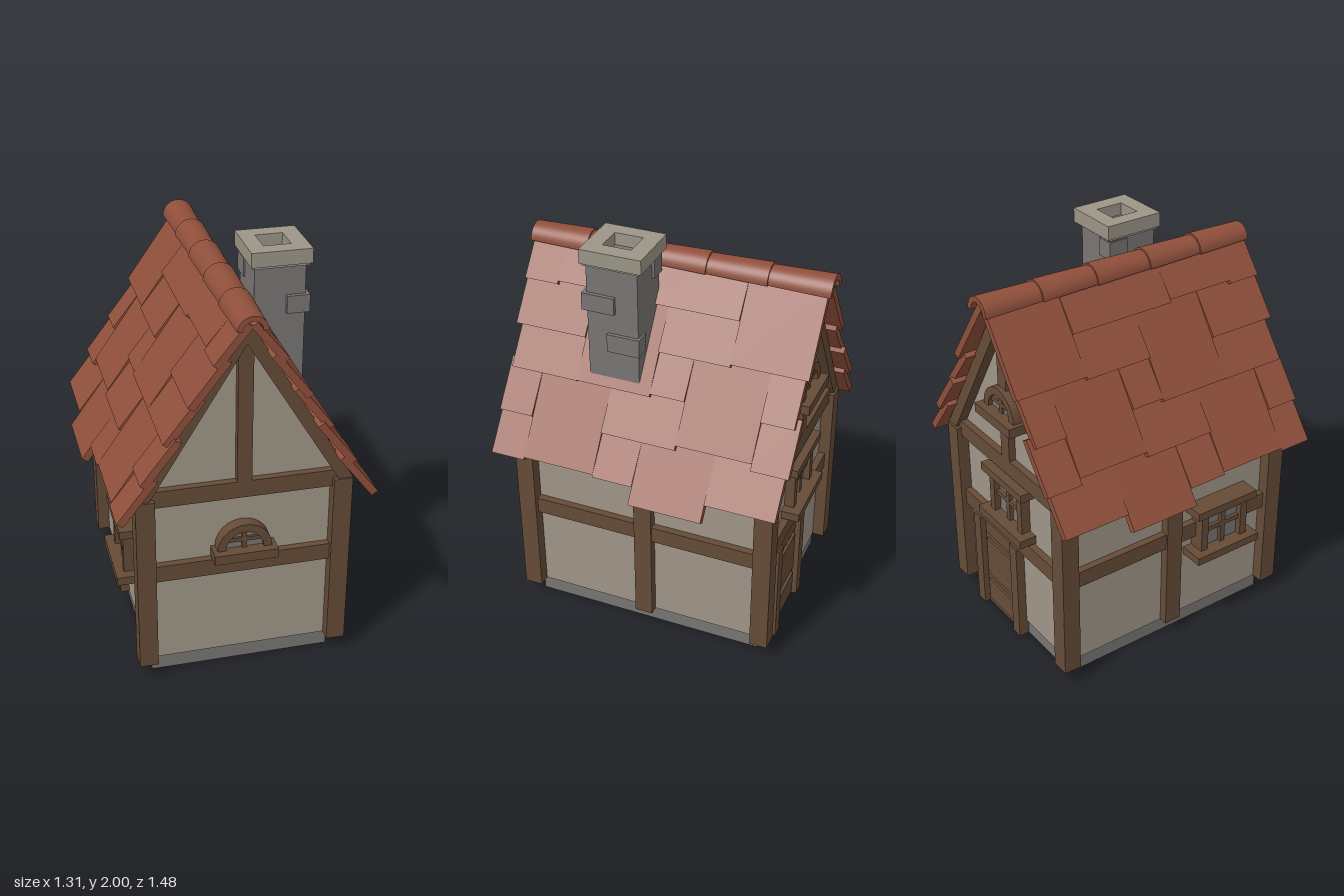
import * as THREE from 'three';

const mat = (name, hex) => {
  const m = new THREE.MeshStandardMaterial({ color: hex });
  m.name = name;
  return m;
};

export function createModel() {
  const plaster = mat('plaster', 0x9f9688);
  const wood = mat('timber', 0x654b37);
  const tileRed = mat('roofTile', 0x8f4f3b);
  const stone = mat('stone', 0x787573);
  const capStone = mat('paleStone', 0x9c9587);

  const house = new THREE.Group();
  house.name = 'house';

  const add = (parent, name, geo, material) => {
    const m = new THREE.Mesh(geo, material);
    m.name = name;
    parent.add(m);
    return m;
  };
  // Box given by its two extreme corners
  const box = (parent, name, material, x0, x1, y0, y1, z0, z1) =>
    add(parent, name, new THREE.BoxGeometry(x1 - x0, y1 - y0, z1 - z0), material)
      .position.set((x0 + x1) / 2, (y0 + y1) / 2, (z0 + z1) / 2);
  const shapeOf = pts => new THREE.Shape(pts.map(p => new THREE.Vector2(p[0], p[1])));
  const prism = (parent, name, material, shape, z0, z1) => {
    const geo = new THREE.ExtrudeGeometry(shape, { depth: z1 - z0, bevelEnabled: false, curveSegments: 16 });
    geo.translate(0, 0, z0);
    return add(parent, name, geo, material);
  };
  const archShape = (outer, inner) => {
    const s = new THREE.Shape();
    s.absarc(0, 0, outer, 0, Math.PI, false);
    if (inner) s.absarc(0, 0, inner, Math.PI, 0, true);
    return s;
  };

  // Foundation and plastered walls with gables
  box(house, 'foundation', stone, -0.44, 0.44, 0, 0.08, -0.59, 0.59);
  prism(house, 'walls', plaster,
    shapeOf([[-0.45, 0.08], [0.45, 0.08], [0.45, 1.05], [0, 1.79], [-0.45, 1.05]]), -0.6, 0.6);

  // Timber frame
  for (const s of [-1, 1]) {
    const span = (a, b) => (s > 0 ? [a, b] : [-b, -a]);
    for (const z of [-0.615, 0.615]) {
      box(house, 'cornerPost', wood, ...span(0.42, 0.51), 0.08, 0.99, z - 0.045, z + 0.045);
    }
    box(house, 'sidePost', wood, ...span(0.43, 0.495), 0.08, 1.01, -0.045, 0.045);
    box(house, 'sideBeam', wood, ...span(0.43, 0.485), 0.54, 0.625, -0.58, 0.58);
    const zs = span(0.58, 0.635);
    box(house, 'middleBeam', wood, -0.43, 0.43, 0.54, 0.625, ...zs);
    box(house, 'tieBeam', wood, -0.45, 0.45, 0.945, 1.03, ...zs);
    box(house, 'kingPost', wood, -0.035, 0.035, 1.03, 1.75, ...zs);
    prism(house, 'rafters', wood,
      shapeOf([[0, 1.84], [-0.52, 0.98], [-0.45, 0.98], [0, 1.72], [0.45, 0.98], [0.52, 0.98]]),
      ...span(0.58, 0.65));
  }

  // Roof tiles: rows from ridge to eave, each entry [z0, z1, extra length down the slope]
  const PITCH = 0.212;
  const rows = [
    [[0.56, 0.73, 0], [0.2, 0.56, -0.015], [-0.35, 0.2, 0], [-0.72, -0.35, 0.2]],
    [[0.37, 0.73, 0.005], [0, 0.37, 0.21], [-0.35, 0, 0]],
    [[0.37, 0.71, 0], [-0.17, 0, -0.015], [-0.54, -0.17, 0.19], [-0.7, -0.54, 0]],
    [[0.56, 0.73, 0], [0.2, 0.56, 0.2], [-0.17, 0.2, 0], [-0.72, -0.54, 0.01]],
    [[0.56, 0.73, 0], [0, 0.2, 0], [-0.36, 0, 0.085], [-0.7, -0.36, 0]],
  ];
  const roof = new THREE.Group();
  roof.name = 'roof';
  house.add(roof);
  for (const side of [-1, 1]) {
    // Distance s down the slope and n away from it, to x and y
    const at = (s, n) => [side * (0.518 * s + 0.855 * n), 1.84 - 0.855 * s + 0.518 * n];
    rows.forEach((row, k) => row.forEach(([z0, z1, extra]) => {
      const top = Math.max(0, k * PITCH - 0.03);
      const end = 0.232 + k * PITCH + extra;
      prism(roof, 'roofTile', tileRed,
        shapeOf([at(top, -0.008), at(end, 0.022), at(end, 0.058), at(top, 0.028)]), z0, z1);
    }));
  }

  // Ridge tiles, each flaring toward the back
  const len = 1.48 / 5;
  for (let i = 0; i < 5; i++) {
    const ridge = prism(roof, 'ridgeTile', tileRed, archShape(0.069, 0.045), 0, len);
    const p = ridge.geometry.attributes.position;
    for (let j = 0; j < p.count; j++) {
      const f = 1.13 - 0.13 * p.getZ(j) / len;
      p.setXY(j, p.getX(j) * f, p.getY(j) * f);
    }
    ridge.geometry.computeVertexNormals();
    ridge.position.set(0, 1.82, -0.74 + i * len);
  }

  // Chimney with projecting stones and a hollow cap
  const chimney = new THREE.Group();
  chimney.name = 'chimney';
  house.add(chimney);
  box(chimney, 'shaft', stone, 0.12, 0.36, 1.3, 1.94, 0.06, 0.31);
  box(chimney, 'cornerStone', stone, 0.27, 0.378, 1.695, 1.78, 0.17, 0.33);
  box(chimney, 'sideStone', stone, 0.3, 0.378, 1.5, 1.59, 0.05, 0.21);
  box(chimney, 'backStone', stone, 0.112, 0.2, 1.82, 1.91, 0.047, 0.15);
  box(chimney, 'collar', capStone, 0.11, 0.375, 1.918, 1.935, 0.045, 0.32);
  const capShape = shapeOf([[0.1, -0.33], [0.385, -0.33], [0.385, -0.03], [0.1, -0.03]]);
  capShape.holes.push(shapeOf([[0.175, -0.25], [0.175, -0.11], [0.305, -0.11], [0.305, -0.25]]));
  prism(chimney, 'cap', capStone, capShape, 1.93, 2).rotation.x = -Math.PI / 2;

  // Arched window; y = 0 is the top of its sill, z = 0 the wall
  const archedWindow = () => {
    const g = new THREE.Group();
    g.name = 'archedWindow';
    box(g, 'sill', wood, -0.152, 0.152, -0.048, 0, -0.02, 0.097);
    prism(g, 'archFrame', wood, archShape(0.13, 0.09), -0.02, 0.06);
    prism(g, 'pane', stone, archShape(0.1), -0.02, 0.037);
    box(g, 'uprightBar', wood, -0.012, 0.012, 0, 0.1, 0, 0.048);
    box(g, 'crossBar', wood, -0.095, 0.095, 0.035, 0.055, 0, 0.048);
    house.add(g);
    return g;
  };
  archedWindow().position.set(0, 0.68, 0.6);
  const backArch = archedWindow();
  backArch.position.set(0, 1.285, -0.6);
  backArch.rotation.y = Math.PI;

  // Square window; y = 0 is the bottom of its sill
  const squareWindow = () => {
    const g = new THREE.Group();
    g.name = 'squareWindow';
    box(g, 'sill', wood, -0.19, 0.19, 0, 0.042, -0.05, 0.09);
    box(g, 'lintel', wood, -0.18, 0.18, 0.25, 0.292, -0.05, 0.07);
    for (const x of [-0.122, 0.122]) box(g, 'jamb', wood, x - 0.02, x + 0.02, 0.04, 0.25, -0.05, 0.048);
    box(g, 'pane', stone, -0.11, 0.11, 0.04, 0.25, -0.05, 0.015);
    box(g, 'mullion', wood, -0.014, 0.014, 0.04, 0.25, -0.04, 0.035);
    box(g, 'transom', wood, -0.11, 0.11, 0.135, 0.16, -0.04, 0.033);
    house.add(g);
    return g;
  };
  const backWindow = squareWindow();
  backWindow.position.set(0, 0.638, -0.6);
  backWindow.rotation.y = Math.PI;
  const sideWindow = squareWindow();
  sideWindow.position.set(-0.485, 0.432, 0.28);
  sideWindow.rotation.y = -Math.PI / 2;

  // Back door with jambs and raised panels
  const door = new THREE.Group();
  door.name = 'door';
  house.add(door);
  box(door, 'doorLeaf', wood, -0.02, 0.28, 0, 0.54, -0.615, -0.58);
  for (const x of [-0.07, 0.27]) box(door, 'doorJamb', wood, x, x + 0.06, 0, 0.54, -0.645, -0.58);
  for (const [y0, y1] of [[0.04, 0.16], [0.2, 0.42], [0.46, 0.53]]) {
    box(door, 'doorPanel', wood, 0.015, 0.245, y0, y1, -0.628, -0.6);
  }

  return house;
}
